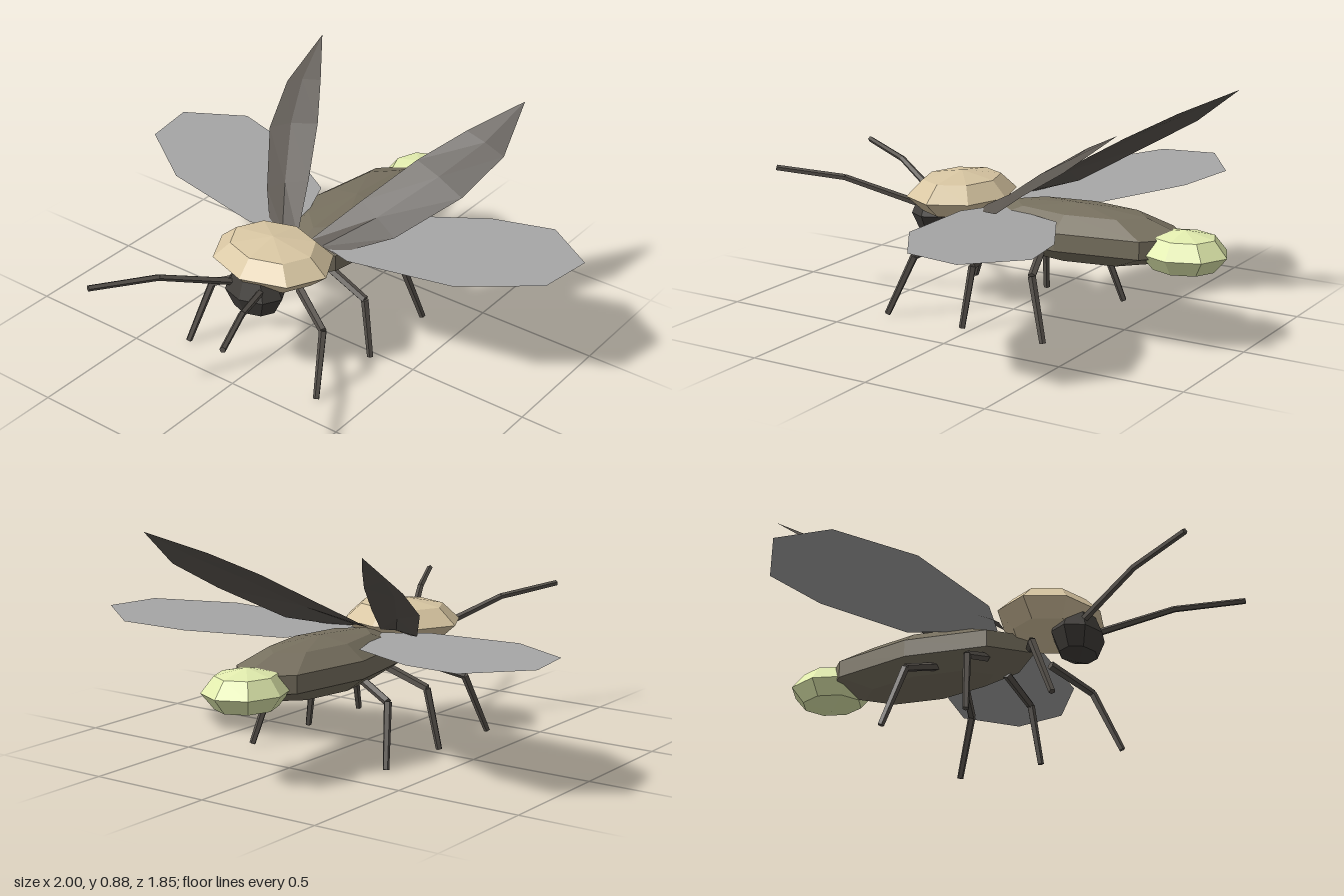
import * as THREE from 'three';

const mat = (color, side = THREE.FrontSide) =>
  new THREE.MeshStandardMaterial({ color, flatShading: true, side });

const tan = mat(0xd8c6a2);
const bodyDark = mat(0x77705f);
const headDark = mat(0x413e3a);
const limbDark = mat(0x57524c);
const glow = mat(0xe2ecae);
const coverMat = mat(0x5b5650, THREE.DoubleSide);
const wingMat = mat(0xa6a6a6, THREE.DoubleSide);

const v = (p) => new THREE.Vector3(...p);

// Faceted ellipsoid for each body part
function blob(name, material, rows, centre, radii) {
  const mesh = new THREE.Mesh(new THREE.SphereGeometry(1, 8, rows), material);
  mesh.name = name;
  mesh.position.set(...centre);
  mesh.scale.set(...radii);
  return mesh;
}

// Jointed limb: a tapering five-sided rod between each pair of points
function limb(name, points, radii) {
  const group = new THREE.Group();
  group.name = name;
  for (let i = 0; i < points.length - 1; i++) {
    const a = v(points[i]), b = v(points[i + 1]);
    const dir = b.clone().sub(a);
    const rod = new THREE.Mesh(
      new THREE.CylinderGeometry(radii[i + 1], radii[i], dir.length(), 5), limbDark);
    rod.name = name + 'Segment' + (i + 1);
    rod.position.copy(a).add(b).multiplyScalar(0.5);
    rod.quaternion.setFromUnitVectors(new THREE.Vector3(0, 1, 0), dir.normalize());
    group.add(rod);
  }
  return group;
}

// Surface joining cross-sections that all have the same number of points
function sheet(name, sections, material) {
  const n = sections[0].length;
  const index = [];
  for (let i = 0; i < sections.length - 1; i++) {
    for (let j = 0; j < n - 1; j++) {
      const a = i * n + j, b = a + 1, c = a + n, d = c + 1;
      index.push(a, b, c, b, d, c);
    }
  }
  const geo = new THREE.BufferGeometry();
  geo.setAttribute('position', new THREE.Float32BufferAttribute(sections.flat(2), 3));
  geo.setIndex(index);
  geo.computeVertexNormals();
  const mesh = new THREE.Mesh(geo, material);
  mesh.name = name;
  return mesh;
}

// Raised wing cover with a gentle ridge along the middle
function wingCover() {
  const edges = [ // outer edge, inner edge
    [[0.16, 0.43, 0.06], [0.03, 0.44, 0.05]],
    [[0.315, 0.475, -0.115], [0.13, 0.56, -0.15]],
    [[0.475, 0.61, -0.335], [0.245, 0.69, -0.36]],
    [[0.535, 0.727, -0.53], [0.36, 0.785, -0.53]],
    [[0.5, 0.877, -0.725], [0.5, 0.877, -0.725]],
  ];
  const ridge = [0.01, 0.02, 0.02, 0.012, 0];
  const sections = edges.map(([o, i], k) => {
    const m = v(o).add(v(i)).multiplyScalar(0.5)
      .add(new THREE.Vector3(0.21, 0.79, 0.56).multiplyScalar(ridge[k]));
    return [o, m.toArray(), i];
  });
  return sheet('wingCover', sections, coverMat);
}

// Flat flying wing, rising slightly towards its tip
function hindWing() {
  const outline = [ // x, z
    [0.05, 0.03], [0.24, 0.09], [0.68, 0.025], [0.965, -0.165],
    [1.0, -0.39], [0.775, -0.55], [0.52, -0.49], [0.18, -0.3]];
  const geo = new THREE.ShapeGeometry(
    new THREE.Shape(outline.map(([x, z]) => new THREE.Vector2(x, -z))));
  geo.rotateX(-Math.PI / 2);
  const pos = geo.attributes.position;
  for (let i = 0; i < pos.count; i++) pos.setY(i, 0.43 + 0.06 * pos.getX(i));
  geo.computeVertexNormals();
  const mesh = new THREE.Mesh(geo, wingMat);
  mesh.name = 'hindWing';
  return mesh;
}

// Everything on one side of the body
function sideParts(name) {
  const side = new THREE.Group();
  side.name = name;
  const legs = [ // name, hip z, knee z, foot z
    ['frontLeg', 0.19, 0.285, 0.385],
    ['middleLeg', 0.0, 0.015, 0.035],
    ['rearLeg', -0.19, -0.25, -0.325],
  ];
  for (const [leg, hip, knee, foot] of legs) {
    side.add(limb(leg, [[0.09, 0.31, hip], [0.275, 0.243, knee], [0.32, 0.004, foot]],
      [0.018, 0.016, 0.013]));
  }
  side.add(limb('antenna', [[0.055, 0.385, 0.38], [0.2, 0.495, 0.67], [0.32, 0.528, 0.92]],
    [0.015, 0.013, 0.012]));
  side.add(wingCover(), hindWing());
  return side;
}

export function createModel() {
  const model = new THREE.Group();
  model.name = 'beetle';
  model.add(
    blob('head', headDark, 4, [0, 0.36, 0.35], [0.13, 0.107, 0.1]),
    blob('neckShield', tan, 4, [0, 0.45, 0.24], [0.255, 0.09, 0.205]),
    blob('abdomen', bodyDark, 5, [0, 0.365, -0.3], [0.21, 0.112, 0.49]),
    blob('glowingTail', glow, 4, [0, 0.345, -0.745], [0.157, 0.087, 0.177]),
  );
  const left = sideParts('leftSide');
  const right = sideParts('rightSide');
  right.scale.x = -1;
  model.add(left, right);
  return model;
}
